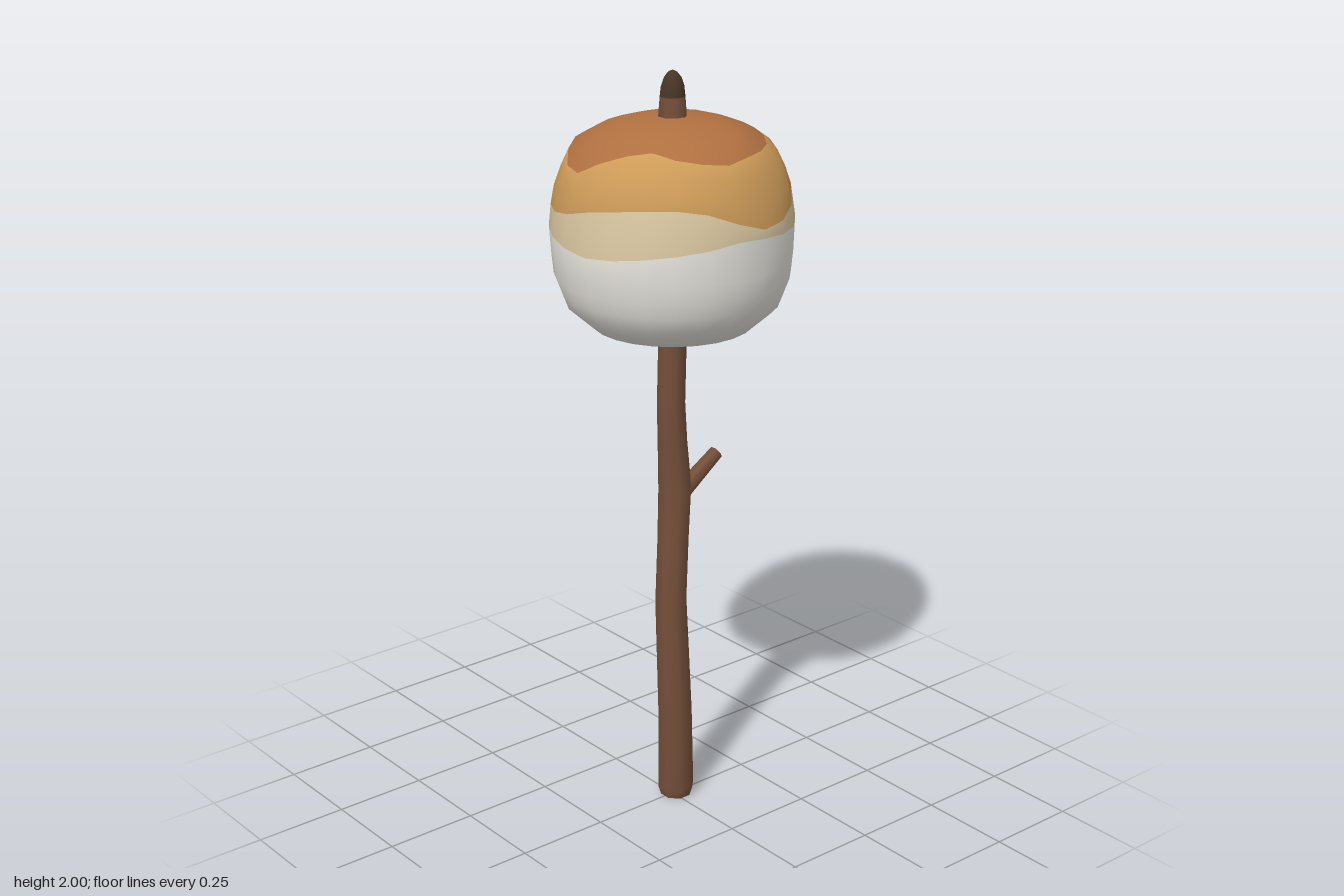
import * as THREE from 'three';

const paint = (name, color) => {
  const m = new THREE.MeshStandardMaterial({ color });
  m.name = name;
  return m;
};

// Piecewise-linear lookup: pairs [key, value] with rising keys
function lookup(pairs, k) {
  for (let i = 1; i < pairs.length; i++) {
    const [k0, v0] = pairs[i - 1], [k1, v1] = pairs[i];
    if (k <= k1) return v0 + (v1 - v0) * (k - k0) / (k1 - k0);
  }
  return pairs[pairs.length - 1][1];
}

// Closed-ring surface, bottom to top; slots gives the material index of each strip
function loft(rings, slots) {
  const n = rings[0].length, index = [];
  const g = new THREE.BufferGeometry().setFromPoints(rings.flat());
  for (let i = 0; i < rings.length - 1; i++) {
    if (slots) g.addGroup(i * n * 6, n * 6, slots[i]);
    for (let j = 0; j < n; j++) {
      const k = (j + 1) % n;
      const a = i * n + j, b = i * n + k, c = a + n, d = b + n;
      index.push(a, b, d, a, d, c);
    }
  }
  g.setIndex(index);
  g.computeVertexNormals();
  return g;
}

function ring(x, y, z, r, sides) {
  return Array.from({ length: sides }, (_, j) => {
    const a = (j + 0.5) / sides * Math.PI * 2;
    return new THREE.Vector3(x + r * Math.sin(a), y, z + r * Math.cos(a));
  });
}

// Marshmallow outline, and the toasting edges around it in 15 degree steps
const SIDE = [[1.357, 0.205], [1.415, 0.27], [1.49, 0.298], [1.6, 0.309], [1.66, 0.304],
  [1.735, 0.29], [1.82, 0.25], [1.855, 0.19]];
const TOP = [[0, 1.89], [0.12, 1.878], [0.19, 1.856], [0.25, 1.82], [0.29, 1.735]];
const CREAM_EDGE = [1.633, 1.627, 1.625, 1.632, 1.635, 1.627, 1.627, 1.633, 1.635, 1.633, 1.63, 1.627,
  1.625, 1.622, 1.62, 1.612, 1.605, 1.595, 1.588, 1.595, 1.605, 1.615, 1.625, 1.637];
const GOLD_EDGE = [1.655, 1.66, 1.68, 1.715, 1.74, 1.72, 1.69, 1.67, 1.662, 1.675, 1.70, 1.72,
  1.725, 1.705, 1.685, 1.668, 1.668, 1.68, 1.70, 1.712, 1.72, 1.722, 1.71, 1.68];
const BROWN_RADIUS = [0.246, 0.242, 0.236, 0.225, 0.212, 0.204, 0.224, 0.255, 0.263, 0.248, 0.232, 0.225,
  0.231, 0.243, 0.247, 0.256, 0.268, 0.27, 0.254, 0.228, 0.213, 0.233, 0.248, 0.253];

function marshmallowGeometry() {
  const n = 24;
  const at = (j, r, y) => {
    const a = (j + 0.5) / n * Math.PI * 2;
    return new THREE.Vector3(r * Math.sin(a), y, r * Math.cos(a));
  };
  const row = f => Array.from({ length: n }, (_, j) => at(j, ...f(j)));
  const bySide = y => [lookup(SIDE, y), y];
  const byTop = r => [r, lookup(TOP, r)];
  const rows = [
    row(() => [0, 1.317]), row(() => [0.12, 1.333]),
    ...[1.357, 1.385, 1.415, 1.45, 1.49, 1.54].map(y => row(() => bySide(y))),
    row(j => bySide(CREAM_EDGE[j])),
    row(j => bySide(GOLD_EDGE[j])),
  ];
  // Golden band blends from its lower edge up to the browned top
  for (const t of [0.35, 0.7]) {
    row(() => [0, 0]);
    rows.push(row(j => {
      const end = byTop(BROWN_RADIUS[j])[1];
      return bySide(GOLD_EDGE[j] + (end - GOLD_EDGE[j]) * t);
    }));
  }
  for (const s of [1, 0.75, 0.5, 0.25, 0]) rows.push(row(j => byTop(BROWN_RADIUS[j] * s)));
  const slots = rows.map((_, i) => (i < 8 ? 0 : i < 9 ? 1 : i < 12 ? 2 : 3));
  return loft(rows, slots);
}

export function createModel() {
  const white = paint('marshmallow white', 0xe9e6df);
  const cream = paint('warm cream', 0xdcc9a3);
  const gold = paint('toasted gold', 0xcd9b59);
  const brown = paint('toasted brown', 0xb07040);
  const bark = paint('bark brown', 0x75503a);
  const char = paint('charred wood', 0x483626);
  const pale = paint('pale cut wood', 0xd6c6a6);

  const model = new THREE.Group();
  model.name = 'roastedMarshmallow';
  const add = (name, geometry, material) => {
    const mesh = new THREE.Mesh(geometry, material);
    mesh.name = name;
    model.add(mesh);
    return mesh;
  };

  add('marshmallow', marshmallowGeometry(), [white, cream, gold, brown]);

  // Crooked stick: x, y, z, radius
  const path = [
    [0.012, 0, 0, 0.042], [0.012, 0.025, 0, 0.05], [0.006, 0.25, 0.004, 0.047],
    [-0.012, 0.59, 0.008, 0.043], [0.002, 0.76, 0, 0.043], [0.013, 0.9, -0.006, 0.045],
    [0, 1.03, 0, 0.04], [-0.008, 1.14, 0.004, 0.038], [0, 1.31, 0, 0.038],
    [0, 1.87, 0, 0.038], [0, 1.935, 0, 0.033],
  ];
  add('stick', loft(path.map(p => ring(...p, 8))), bark);

  // Cut face under the stick
  const base = add('stickCutEnd', new THREE.CircleGeometry(0.042, 8, Math.PI / 8), pale);
  base.rotation.x = Math.PI / 2;
  base.position.set(0.012, 0, 0);

  // Burnt rounded tip
  const tip = [[1.935, 0.033], [1.96, 0.03], [1.98, 0.023], [1.994, 0.012], [2, 0]];
  add('charredTip', loft(tip.map(([y, r]) => ring(0, y, 0, r, 8))), char);

  // Side twig with a pale cut end
  const start = new THREE.Vector3(0.005, 0.866, 0);
  const end = new THREE.Vector3(0.15, 0.967, 0);
  const twig = new THREE.Group();
  twig.name = 'twig';
  const length = start.distanceTo(end);
  const twigBark = new THREE.Mesh(new THREE.CylinderGeometry(0.019, 0.025, length, 6, 1, true), bark);
  twigBark.name = 'twigBark';
  const twigEnd = new THREE.Mesh(new THREE.CircleGeometry(0.019, 6, Math.PI / 6), pale);
  twigEnd.name = 'twigCutEnd';
  twigEnd.rotation.x = -Math.PI / 2;
  twigEnd.position.y = length / 2;
  twig.add(twigBark, twigEnd);
  twig.position.copy(start).lerp(end, 0.5);
  twig.quaternion.setFromUnitVectors(new THREE.Vector3(0, 1, 0), end.clone().sub(start).normalize());
  model.add(twig);

  return model;
}
